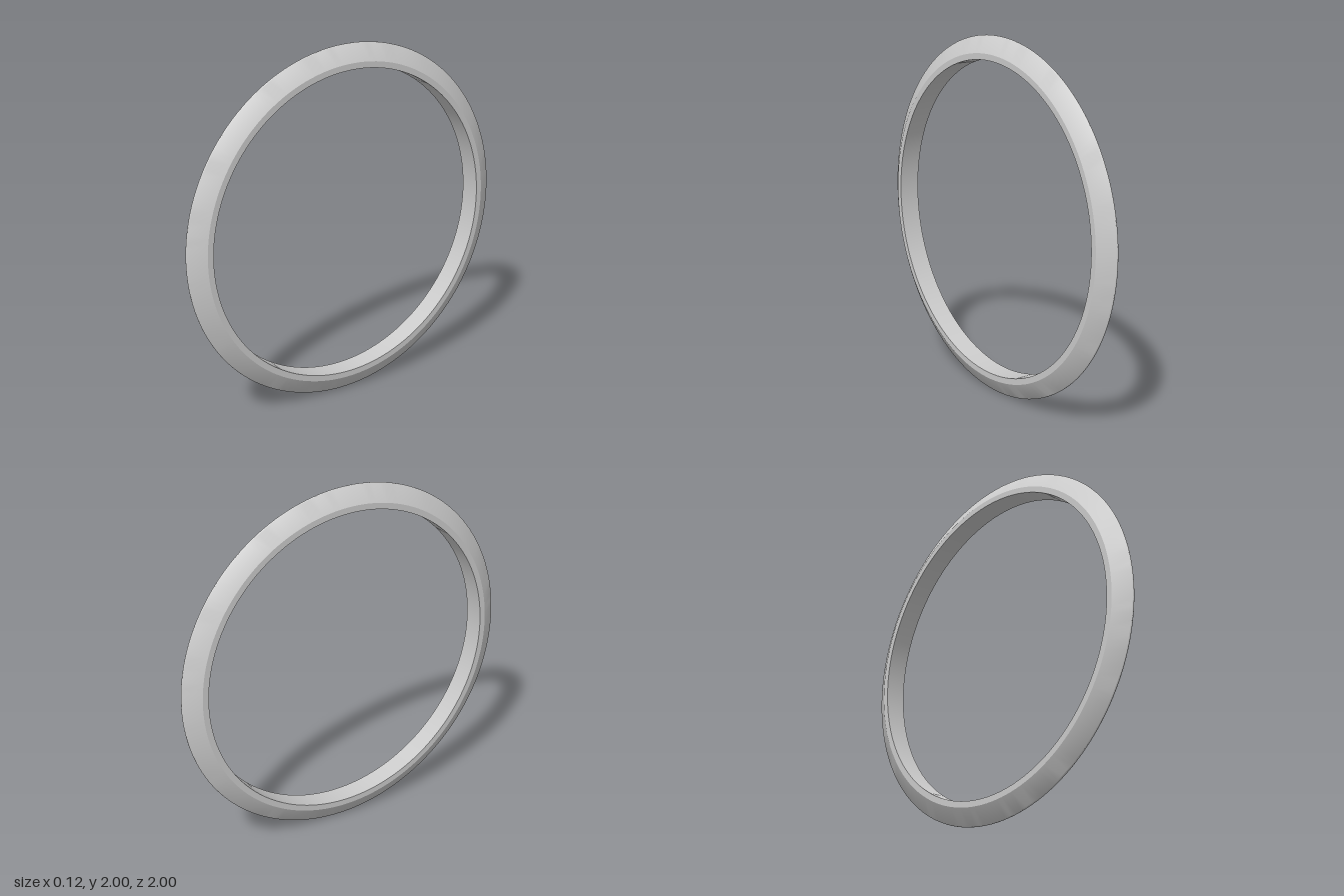
import * as THREE from 'three';
import { toCreasedNormals } from 'three/addons/utils/BufferGeometryUtils.js';

const INNER = 0.873, SHOULDER = 0.907, HALF_WIDTH = 0.06;
const TIP_RADIUS = 0.008, TIP_ANGLE = 1.03, TIP_STEPS = 8;

export function createModel() {
  const group = new THREE.Group();
  group.name = 'ring';

  // Closed cross-section: flat inner wall, flat sides, slopes meeting at a rounded rim
  const profile = [
    new THREE.Vector2(INNER, -HALF_WIDTH),
    new THREE.Vector2(SHOULDER, -HALF_WIDTH),
  ];
  for (let i = 0; i <= TIP_STEPS; i++) {
    const a = TIP_ANGLE * (2 * i / TIP_STEPS - 1);
    profile.push(new THREE.Vector2(
      1 - TIP_RADIUS + TIP_RADIUS * Math.cos(a),
      TIP_RADIUS * Math.sin(a)
    ));
  }
  profile.push(
    new THREE.Vector2(SHOULDER, HALF_WIDTH),
    new THREE.Vector2(INNER, HALF_WIDTH),
    new THREE.Vector2(INNER, -HALF_WIDTH)
  );

  // Sweep around the x axis and stand on the ground
  const geometry = toCreasedNormals(new THREE.LatheGeometry(profile, 160), 0.4);
  geometry.rotateZ(-Math.PI / 2);
  const band = new THREE.Mesh(geometry, new THREE.MeshStandardMaterial({ color: 0xcccccc }));
  band.name = 'bevelledBand';
  band.position.y = 1;
  group.add(band);

  return group;
}
